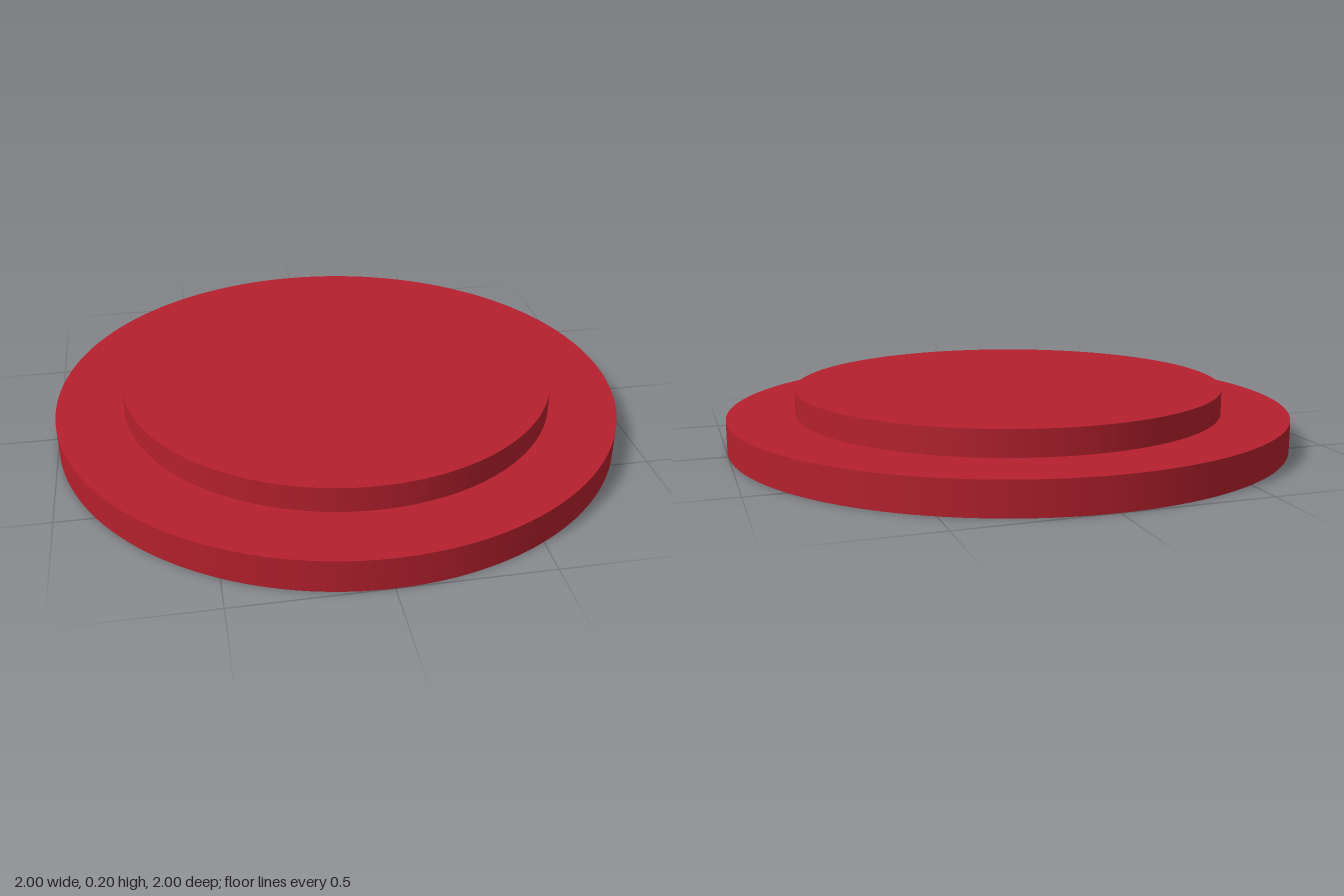
import * as THREE from 'three';

const SEGMENTS = 128;

// Upright disc resting on the given height
function disc(name, radius, bottom, top, material) {
  const geometry = new THREE.CylinderGeometry(radius, radius, top - bottom, SEGMENTS);
  const mesh = new THREE.Mesh(geometry, material);
  mesh.name = name;
  mesh.position.y = (bottom + top) / 2;
  return mesh;
}

export function createModel() {
  const group = new THREE.Group();
  group.name = 'steppedDisc';
  const red = new THREE.MeshStandardMaterial({ color: 0xb5202d });

  // Wide base and the narrower raised step on top of it
  group.add(disc('base', 1, 0, 0.112, red));
  group.add(disc('raisedTop', 0.763, 0.112, 0.2, red));
  return group;
}
